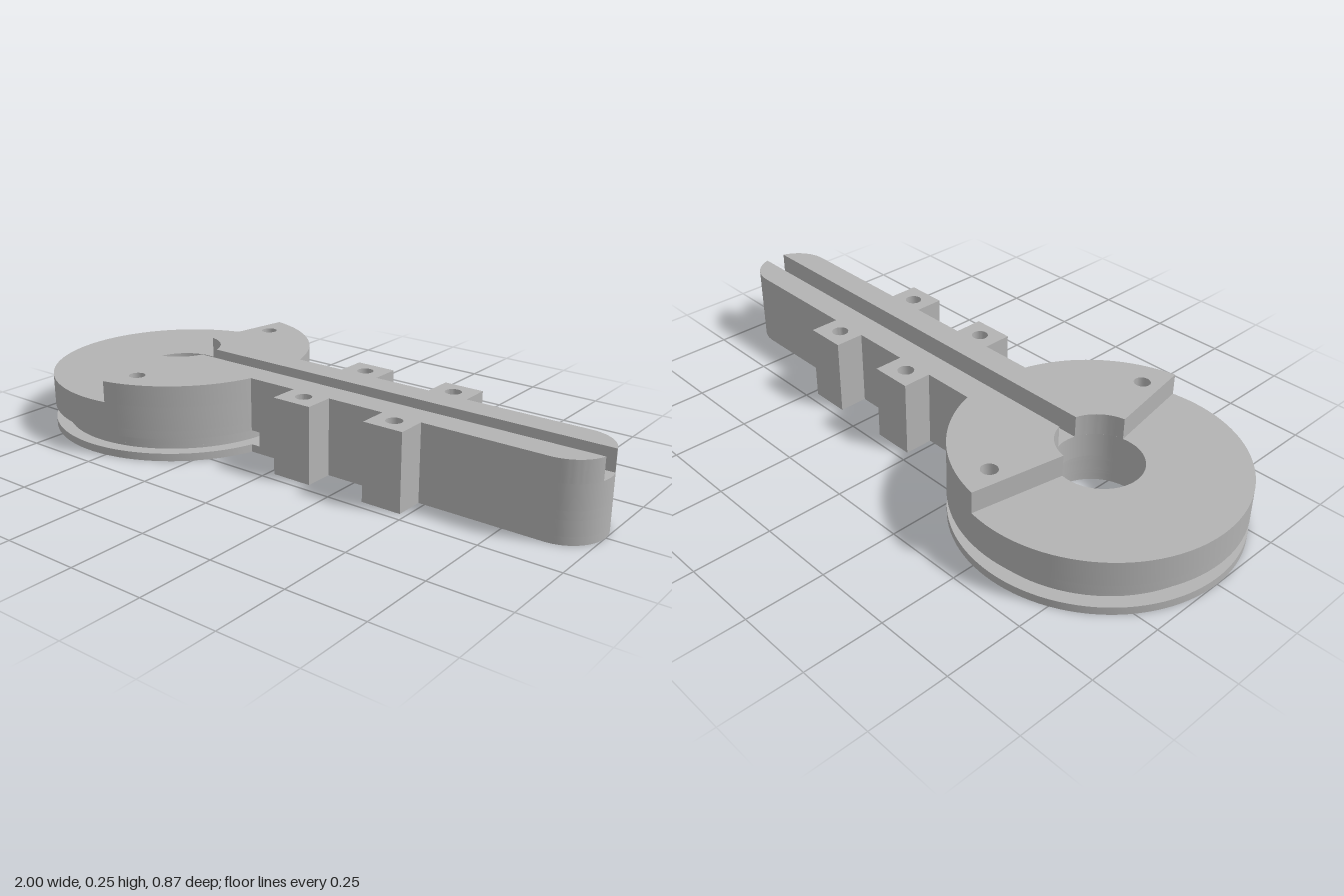
import * as THREE from 'three';
import { toCreasedNormals } from 'three/addons/utils/BufferGeometryUtils.js';

const CX = -0.567;            // hub centre
const R = 0.433, CORE = 0.39; // hub rim and groove floor radius
const BORE = 0.131, POCKET = 0.148;
const ARM = 0.122, LUG = 0.217, SLOT = 0.035;
const TIP = 1 - ARM;          // centre of the rounded arm end
const LUGS = [[0.02, 0.155], [0.348, 0.48]];
const PI = Math.PI;

// Points along an arc, either direction
function arc(x, y, r, a, b, n = 32) {
  return Array.from({ length: n + 1 }, (_, i) => {
    const t = a + (b - a) * i / n;
    return new THREE.Vector2(x + r * Math.cos(t), y + r * Math.sin(t));
  });
}
const circle = (x, y, r, n = 28) => arc(x, y, r, 0, 2 * PI * (n - 1) / n, n - 1);
const v = (x, y) => new THREE.Vector2(x, y);
const flip = pts => pts.map(p => v(p.x, -p.y)).reverse();

// Upper arm edge with its lugs, running from the tip towards the hub
function armEdge() {
  const pts = [];
  for (const [a, b] of [...LUGS].reverse()) {
    pts.push(v(b, ARM), v(b, LUG), v(a, LUG), v(a, ARM));
  }
  return pts;
}

export function createModel() {
  const group = new THREE.Group();
  const grey = new THREE.MeshStandardMaterial({ color: 0xb3b3b3 });
  grey.name = 'grey plastic';

  // Extrude a plan outline between two heights
  function layer(name, outline, holes, y0, y1) {
    const shape = new THREE.Shape(outline);
    shape.holes = holes.map(h => new THREE.Path(h));
    let geo = new THREE.ExtrudeGeometry(shape, { depth: y1 - y0, bevelEnabled: false });
    geo.rotateX(-PI / 2);
    geo.translate(0, y0, 0);
    geo = toCreasedNormals(geo, 0.5);
    const mesh = new THREE.Mesh(geo, grey);
    mesh.name = name;
    group.add(mesh);
  }

  // Screw positions, on one side of the centre line
  const hubScrew = [-0.45, 0.321];
  const lugScrews = [[0.087, 0.157], [0.413, 0.157]];
  const both = list => list.flatMap(([x, y]) => [[x, y], [x, -y]]);
  const nut = ([x, y]) => circle(x, y, 0.043, 6);
  const screw = ([x, y]) => circle(x, y, 0.026, 20);
  const armHoles = [circle(0.113, 0, 0.033), circle(0.795, 0, 0.033)];
  const bore = circle(CX, 0, BORE, 64), pocket = circle(CX, 0, POCKET, 64);

  // Whole plan: hub, arm and lugs
  const a = Math.asin(ARM / R);
  const edge = armEdge();
  const plan = [
    ...arc(CX, 0, R, a, 2 * PI - a, 96),
    ...flip(edge),
    ...arc(TIP, 0, ARM, -PI / 2, PI / 2),
    ...edge,
  ];
  const lowHoles = [pocket, ...armHoles, ...both([hubScrew, ...lugScrews]).map(nut)];
  const midHoles = [bore, ...armHoles, ...both([hubScrew, ...lugScrews]).map(screw)];
  layer('bottomFlange', plan, lowHoles, 0, 0.025);
  layer('nutPocketLayer', plan, lowHoles, 0.073, 0.1);
  layer('mainBody', plan, midHoles, 0.1, 0.178);

  // Groove floor, with a cord tunnel into one nut pocket
  layer('grooveFloor', circle(CX, 0, CORE, 96),
    [pocket, ...both([hubScrew]).map(nut)], 0.025, 0.035);
  const [hx, hy] = hubScrew;
  const t0 = 0.297, t1 = 0.325;
  const tunnelled = [
    ...arc(CX, 0, CORE, Math.asin(t1 / CORE), Math.asin(t0 / CORE) + 2 * PI, 96),
    v(hx + 0.029, t0),
    ...arc(hx, hy, 0.043, -PI / 3, -5 * PI / 3, 4),
    v(hx + 0.041, t1),
  ];
  layer('grooveCore', tunnelled, [pocket, nut([hx, -hy])], 0.035, 0.073);

  // Arm beside the groove, cut back by an arc
  const cut = 0.463, c = Math.asin(ARM / cut);
  layer('armAtGroove', [
    ...arc(CX, 0, cut, c, -c, 20),
    ...flip(edge),
    ...arc(TIP, 0, ARM, -PI / 2, PI / 2),
    ...edge,
  ], [...armHoles, ...both(lugScrews).map(nut)], 0.025, 0.073);

  // Raised halves on either side of the long slot
  const s = 80 * PI / 180;
  const half = [
    ...arc(TIP, 0, ARM, Math.asin(SLOT / ARM), PI / 2, 20),
    ...edge,
    ...arc(CX, 0, R, a, s, 32),
    ...arc(CX, 0, BORE, s, Math.asin(SLOT / BORE), 16),
  ];
  const halfHoles = [hubScrew, ...lugScrews].map(screw);
  layer('raisedHalfBack', half, halfHoles, 0.178, 0.247);
  layer('raisedHalfFront', flip(half), halfHoles.map(flip), 0.178, 0.247);

  return group;
}
